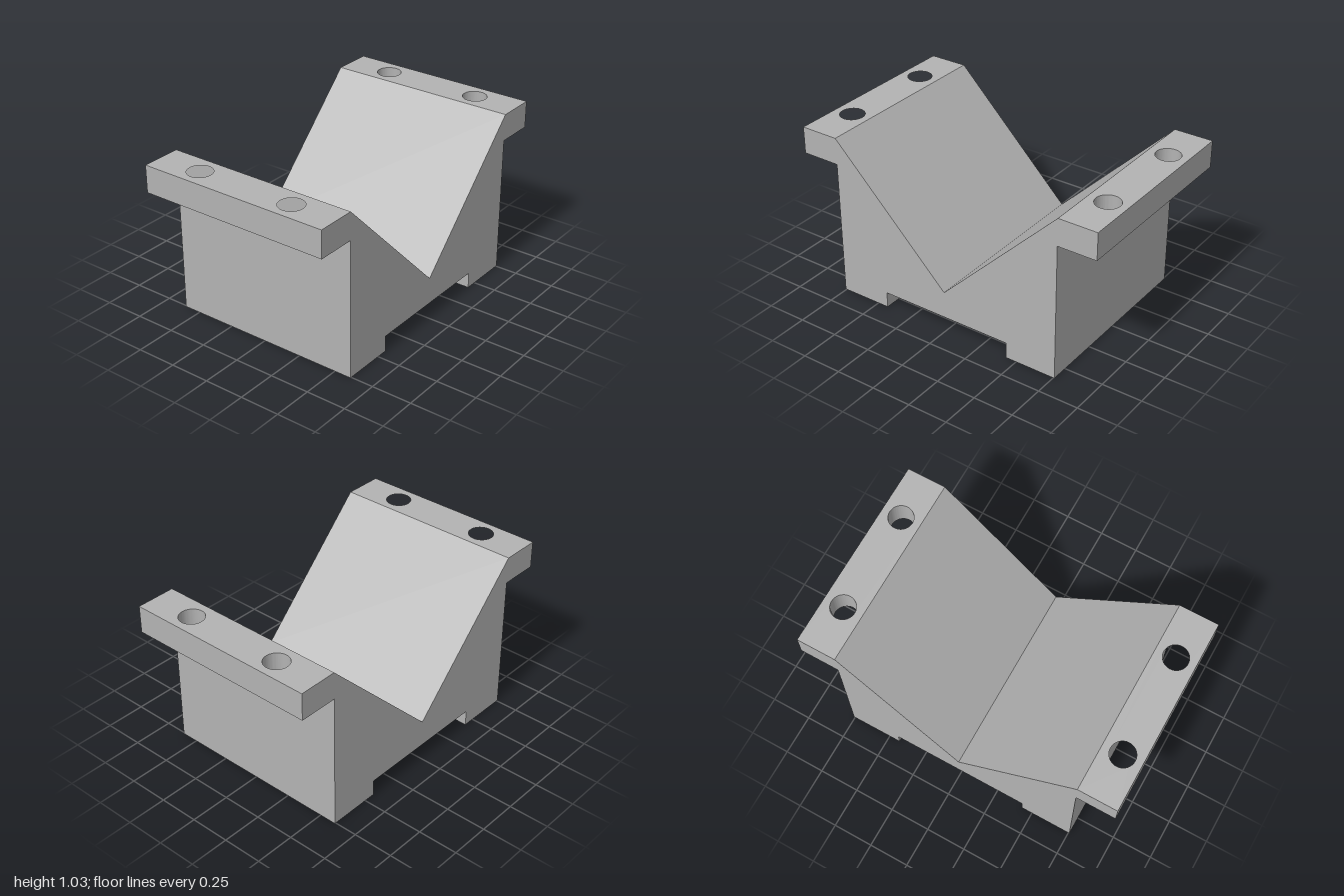
import * as THREE from 'three';
import { toCreasedNormals } from 'three/addons/utils/BufferGeometryUtils.js';

const HALF_DEPTH = 0.607;
const BODY_X = 0.757;
const TOP = 1.027;
const LEDGE = 0.858;

// V-groove body with a slot along its underside, extruded front to back
function bodyGeometry() {
  const profile = [
    [-BODY_X, 0], [-0.43, 0], [-0.43, 0.1], [0.43, 0.1], [0.43, 0],
    [BODY_X, 0], [BODY_X, TOP], [0, 0.27], [-BODY_X, TOP],
  ].map(([x, y]) => new THREE.Vector2(x, y));
  const geometry = new THREE.ExtrudeGeometry(new THREE.Shape(profile), {
    depth: HALF_DEPTH * 2, bevelEnabled: false,
  });
  return geometry.translate(0, 0, -HALF_DEPTH);
}

// Side flange with two bolt holes, extruded upward
function flangeGeometry(side) {
  const inner = side * BODY_X, outer = side;
  const shape = new THREE.Shape([
    new THREE.Vector2(inner, -HALF_DEPTH), new THREE.Vector2(outer, -HALF_DEPTH),
    new THREE.Vector2(outer, HALF_DEPTH), new THREE.Vector2(inner, HALF_DEPTH),
  ]);
  for (const z of [-0.317, 0.317]) {
    const hole = new THREE.Path();
    hole.absarc(side * 0.879, z, 0.075, 0, Math.PI * 2, true);
    shape.holes.push(hole);
  }
  const geometry = new THREE.ExtrudeGeometry(shape, {
    depth: TOP - LEDGE, bevelEnabled: false, curveSegments: 40,
  });
  geometry.rotateX(-Math.PI / 2).translate(0, LEDGE, 0);
  return toCreasedNormals(geometry, 0.6);
}

export function createModel() {
  const model = new THREE.Group();
  model.name = 'vBlock';
  const grey = new THREE.MeshStandardMaterial({ color: 0xb3b3b3 });
  grey.name = 'machined grey';

  const add = (name, geometry) => {
    const mesh = new THREE.Mesh(geometry, grey);
    mesh.name = name;
    model.add(mesh);
  };
  add('grooveBody', bodyGeometry());
  add('leftFlange', flangeGeometry(1));
  add('rightFlange', flangeGeometry(-1));
  return model;
}
